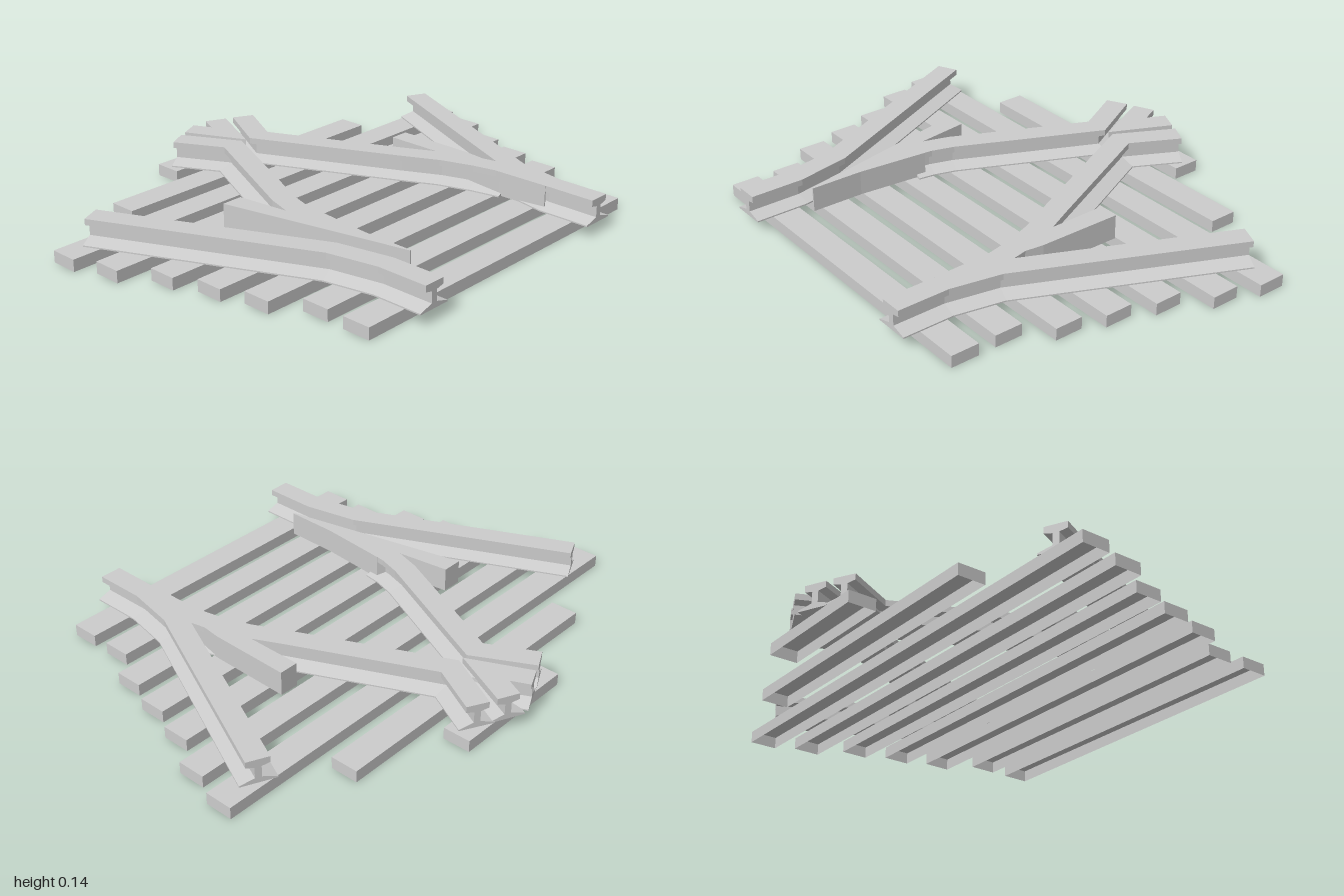
import * as THREE from 'three';

const material = new THREE.MeshStandardMaterial({ color: 0xcccccc, flatShading: true, side: THREE.DoubleSide });
const RAIL_BOTTOM = 0.045, RAIL_TOP = 0.138;

// Right half of the rail section as [sideways, height], mirrored into a closed loop
const half = [[0.066, 0.045], [0.066, 0.05], [0.012, 0.066], [0.012, 0.108], [0.042, 0.115], [0.042, RAIL_TOP]];
const section = [...half, ...half.map(([s, y]) => [-s, y]).reverse()];

// Sweep the rail section along a ground path of [x, z] points with mitred bends
function railGeometry(path) {
  const pts = path.map(([x, z]) => new THREE.Vector2(x, z));
  const side = (a, b) => {
    const t = b.clone().sub(a).normalize();
    return new THREE.Vector2(t.y, -t.x);
  };
  const rings = pts.map((p, k) => {
    const before = side(pts[Math.max(k - 1, 0)], pts[Math.max(k, 1)]);
    const last = pts.length - 1;
    const after = side(pts[Math.min(k, last - 1)], pts[Math.min(k + 1, last)]);
    const n = before.clone().add(after).normalize();
    n.divideScalar(n.dot(before));
    return section.map(([s, y]) => [p.x + n.x * s, y, p.y + n.y * s]);
  });

  const out = [];
  const tri = (a, b, c) => out.push(...a, ...b, ...c);
  for (let k = 0; k < rings.length - 1; k++) {
    section.forEach((_, i) => {
      const j = (i + 1) % section.length;
      tri(rings[k][i], rings[k][j], rings[k + 1][j]);
      tri(rings[k][i], rings[k + 1][j], rings[k + 1][i]);
    });
  }
  // End caps
  const first = rings[0], end = rings[rings.length - 1];
  const faces = THREE.ShapeUtils.triangulateShape(section.map(([s, y]) => new THREE.Vector2(s, y)), []);
  for (const [a, b, c] of faces) {
    tri(first[a], first[c], first[b]);
    tri(end[a], end[b], end[c]);
  }
  const geometry = new THREE.BufferGeometry();
  geometry.setAttribute('position', new THREE.Float32BufferAttribute(out, 3));
  geometry.computeVertexNormals();
  return geometry;
}

// Solid tapered block from a ground outline of [x, z] points
function bladeGeometry(outline) {
  const shape = new THREE.Shape(outline.map(([x, z]) => new THREE.Vector2(x, -z)));
  return new THREE.ExtrudeGeometry(shape, { depth: RAIL_TOP - RAIL_BOTTOM, bevelEnabled: false })
    .rotateX(-Math.PI / 2)
    .translate(0, RAIL_BOTTOM, 0);
}

// Box without its underside
function tieGeometry(width) {
  const geometry = new THREE.BoxGeometry(width, RAIL_BOTTOM, 0.107);
  const index = Array.from(geometry.index.array);
  index.splice(18, 6);
  geometry.setIndex(index);
  geometry.clearGroups();
  return geometry;
}

export function createModel() {
  const model = new THREE.Group();
  const add = (name, geometry) => {
    const mesh = new THREE.Mesh(geometry, material);
    mesh.name = name;
    model.add(mesh);
    return mesh;
  };

  // Ties, from front to back
  [0.68, 0.68, 0.77, 0.815, 0.865, 0.955, 1, 0.61, 0.25].forEach((w, i) => {
    add(`tie${i + 1}`, tieGeometry(2 * w)).position.set(0, RAIL_BOTTOM / 2, 0.683 - 0.1725 * i);
  });

  // Outer running rails
  for (const [name, s] of [['leftOuterRail', 1], ['rightOuterRail', -1]]) {
    add(name, railGeometry([[0.45 * s, 0.8], [0.45 * s, 0.6], [0.49 * s, 0.4], [0.855 * s, -0.385]]));
  }

  // Closure rails, bending outward at the back as wing rails
  add('leftClosureRail', railGeometry([
    [0.174, -0.722], [0.068, -0.52], [0.315, 0.01], [0.383, 0.15], [0.425, 0.28], [0.45, 0.4],
  ]));
  add('rightClosureRail', railGeometry([
    [-0.174, -0.722], [-0.068, -0.52], [-0.31, 0], [-0.338, 0.09], [-0.348, 0.16],
  ]));

  // V-shaped crossing nose
  add('crossingNose', railGeometry([[-0.07, -0.77], [0, -0.62], [0.07, -0.77]]));

  // Solid switch blades tapering to the front
  add('leftSwitchBlade', bladeGeometry([
    [0.405, -0.12], [0.48, -0.12], [0.475, 0.2], [0.45, 0.4], [0.413, 0.6], [0.407, 0.6], [0.403, 0.4], [0.405, 0.2],
  ]));
  add('rightSwitchBlade', bladeGeometry([
    [-0.485, -0.12], [-0.405, -0.12], [-0.38, 0.08], [-0.3, 0.13], [-0.307, 0.2], [-0.326, 0.4], [-0.328, 0.6], [-0.333, 0.6],
  ]));

  return model;
}
